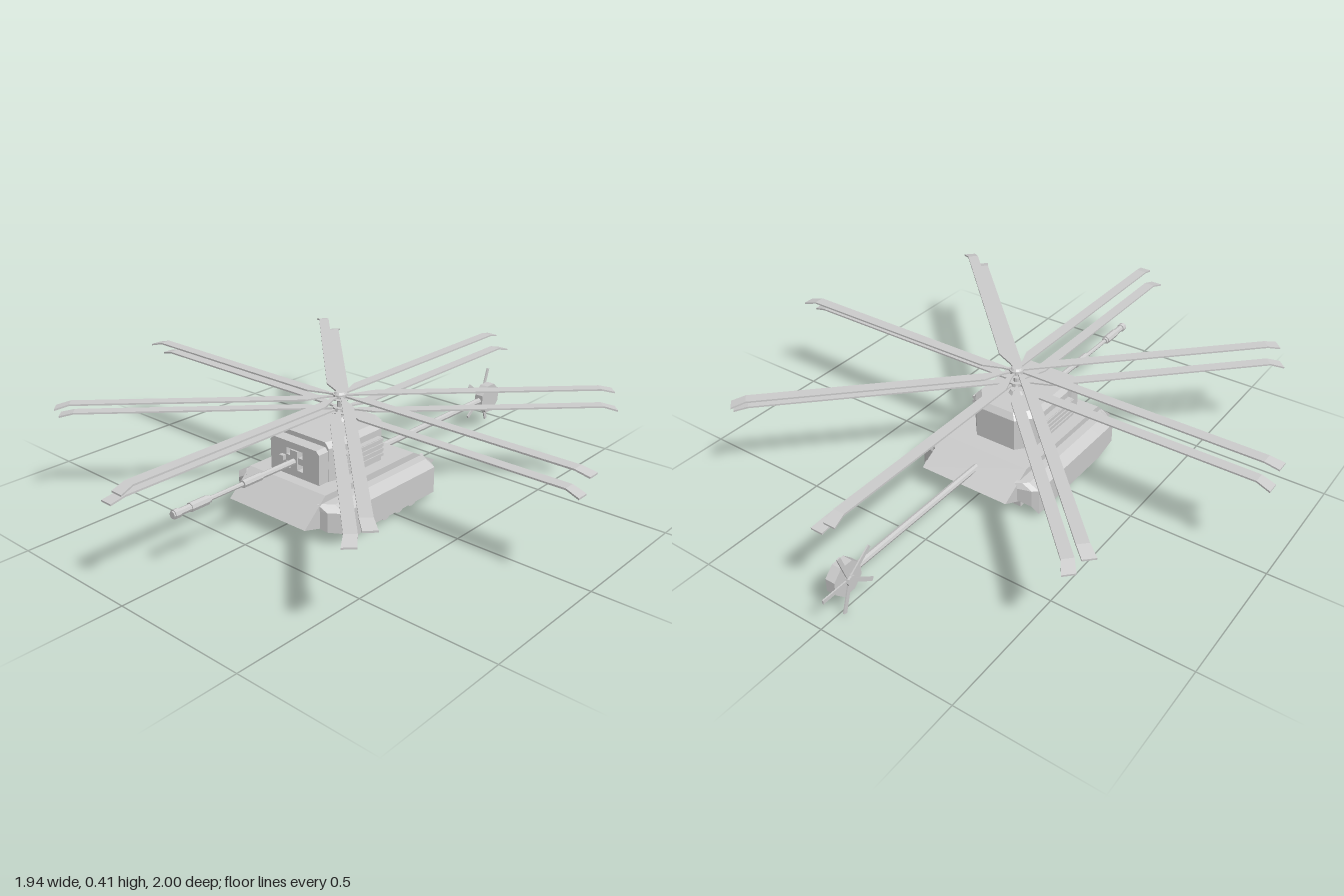
import * as THREE from 'three';
import { ConvexGeometry } from 'three/addons/geometries/ConvexGeometry.js';

const grey = new THREE.MeshStandardMaterial({ color: 0xcccccc, flatShading: true });
const greyThin = new THREE.MeshStandardMaterial({ color: 0xcccccc, flatShading: true, side: THREE.DoubleSide });

function add(parent, name, geometry, x = 0, y = 0, z = 0, material = grey) {
  const mesh = new THREE.Mesh(geometry, material);
  mesh.name = name;
  mesh.position.set(x, y, z);
  parent.add(mesh);
  return mesh;
}

function subgroup(parent, name, x = 0, y = 0, z = 0) {
  const g = new THREE.Group();
  g.name = name;
  g.position.set(x, y, z);
  parent.add(g);
  return g;
}

const box = (w, h, d) => new THREE.BoxGeometry(w, h, d);
const rodY = (r, h, n = 8) => new THREE.CylinderGeometry(r, r, h, n);
const rodZ = (r, l, n = 8) => rodY(r, l, n).rotateX(Math.PI / 2);
const rodX = (r, l, n = 8) => rodY(r, l, n).rotateZ(Math.PI / 2);
const shapeOf = pts => new THREE.Shape(pts.map(p => new THREE.Vector2(...p)));

// Skin over rings of points; closed rings also get end caps.
function loft(rings, closed, flip = false) {
  const n = rings[0].length, idx = [];
  const tri = (a, b, c) => idx.push(...(flip ? [a, c, b] : [a, b, c]));
  for (let i = 0; i < rings.length - 1; i++)
    for (let j = 0; j < (closed ? n : n - 1); j++) {
      const k = (j + 1) % n, a = i * n + j, b = i * n + k;
      tri(a, b, b + n);
      tri(a, b + n, a + n);
    }
  if (closed)
    for (let j = 1, e = (rings.length - 1) * n; j < n - 1; j++) {
      tri(0, j + 1, j);
      tri(e, e + j, e + j + 1);
    }
  const g = new THREE.BufferGeometry();
  g.setAttribute('position', new THREE.Float32BufferAttribute(rings.flat(2), 3));
  g.setIndex(idx);
  g.computeVertexNormals();
  return g;
}

// Rotor blade: radius, inner edge, outer edge, height; the tip droops and sweeps.
function bladeGeometry(side) {
  const stations = [
    [0.01, 0, 0.006, 0], [0.05, 0.001, 0.014, 0], [0.12, 0.001, 0.041, 0],
    [0.92, 0.001, 0.041, 0], [0.97, 0.006, 0.05, -0.013],
  ];
  const t = 0.003;
  return loft(stations.map(([r, a, b, y]) => [
    [r, y - t, -side * a], [r, y + t, -side * a], [r, y + t, -side * b], [r, y - t, -side * b],
  ]), true, side > 0);
}

function addRotor(parent, name, y, side) {
  const rotor = subgroup(parent, name, 0, y, 0.03);
  const geometry = bladeGeometry(side);
  for (let i = 0; i < 8; i++)
    add(rotor, 'rotorBlade', geometry, 0, 0, 0, greyThin).rotation.y = i * Math.PI / 4;
  add(rotor, 'rotorHub', rodY(0.026, 0.016, 12));
  add(rotor, 'rotorSwashPlate', new THREE.CylinderGeometry(0.045, 0.03, 0.007, 8), 0, -0.008, 0);
}

function addHull(model) {
  // Side profile as (z, y), extruded across the width
  const profile = shapeOf([[0.4, 0.075], [0.3, 0.165], [-0.165, 0.165], [-0.29, 0.095],
    [-0.2, 0.05], [-0.2, 0.025], [0.21, 0.022]]);
  const hull = new THREE.ExtrudeGeometry(profile, { depth: 0.356, bevelEnabled: false });
  add(model, 'hull', hull.rotateY(-Math.PI / 2).translate(0.178, 0, 0));
  add(model, 'bellyHatch', box(0.07, 0.006, 0.05), 0, 0.021, 0.0);

  for (const s of [-1, 1]) {
    // Fender and skirt, open below: z, outer x, bottom y
    const stations = [[0.33, 0.18, 0.055], [0.325, 0.21, 0.05], [0.29, 0.25, 0.045], [0.2, 0.25, 0.022],
      [-0.195, 0.25, 0.022], [-0.21, 0.23, 0.055], [-0.225, 0.18, 0.07]];
    const rings = stations.map(([z, x, y]) => [
      [s * 0.17, 0.142, z], [s * Math.max(0.172, x - 0.04), 0.14, z],
      [s * x, 0.12, z], [s * x, y, z],
    ]);
    add(model, 'trackSkirt', loft(rings, false, s > 0), 0, 0, 0, greyThin);

    // Paired road wheels under the skirt
    const track = subgroup(model, 'runningGear', s * 0.215, 0, 0);
    for (let i = 0; i < 5; i++) {
      const z = 0.2 - i * 0.0725;
      for (const dx of [-0.013, 0.013])
        add(track, 'roadWheel', rodX(0.029, 0.012, 12), dx, 0.0295, z);
      add(track, 'wheelAxle', rodX(0.009, 0.08), -s * 0.015, 0.0295, z);
    }
    for (const [z, y] of [[0.27, 0.078], [-0.16, 0.068]])
      add(track, 'endWheel', rodX(0.026, 0.036, 12), 0, y, z);
  }
}

function addTurret(model) {
  const turret = subgroup(model, 'turret');
  // Faceted body: plan outline at three heights, drawn in at the top
  const plan = [[0.115, 0.215], [0.13, 0.16], [0.13, -0.04], [0.08, -0.1]];
  const pts = [];
  for (const [y, inset] of [[0.16, 0], [0.285, 0], [0.305, 0.016]])
    for (const [x, z] of plan)
      for (const s of [-1, 1])
        pts.push(new THREE.Vector3(s * (x - inset), y, z > 0.2 ? z : z + (z < 0 ? inset : 0)));
  add(turret, 'turretBody', new ConvexGeometry(pts));

  // Front plate with two gun slots
  const face = shapeOf([[-0.113, 0.16], [0.113, 0.16], [0.113, 0.275], [0.1, 0.288], [-0.1, 0.288], [-0.113, 0.275]]);
  for (const [a, b] of [[0.19, 0.215], [0.238, 0.264]])
    face.holes.push(new THREE.Path([[-0.038, a], [-0.038, b], [0.038, b], [0.038, a]].map(p => new THREE.Vector2(...p))));
  add(turret, 'turretFront', new THREE.ExtrudeGeometry(face, { depth: 0.047, bevelEnabled: false }), 0, 0, 0.213);
  add(turret, 'mantlet', box(0.032, 0.07, 0.045), 0, 0.227, 0.242);
  add(turret, 'gunSight', box(0.018, 0.018, 0.03), -0.05, 0.226, 0.26);

  // Slatted side boxes
  for (const s of [-1, 1]) {
    add(turret, 'sideBox', box(0.025, 0.07, 0.19), s * 0.138, 0.227, 0.072);
    for (let i = 0; i < 4; i++)
      add(turret, 'sideSlat', box(0.006, 0.01, 0.19), s * 0.152, 0.2 + i * 0.0185, 0.072);
  }

  // Cannon: radius, start z, end z
  const gun = subgroup(turret, 'cannon', 0, 0.222, 0);
  for (const [name, r, a, b] of [['barrel', 0.008, 0.22, 0.78], ['barrelRoot', 0.011, 0.25, 0.42],
    ['barrelSleeve', 0.014, 0.42, 0.5], ['muzzleBrake', 0.0125, 0.64, 0.79],
    ['muzzleCollar', 0.016, 0.65, 0.72], ['muzzleRing', 0.016, 0.765, 0.785]])
    add(gun, name, rodZ(r, b - a), 0, 0, (a + b) / 2);
}

function addTail(model) {
  add(model, 'tailBoom', rodZ(0.0125, 0.67), 0, 0.127, -0.515);
  const tail = subgroup(model, 'tail', 0, 0.128, -0.883);
  add(tail, 'tailGearbox', rodX(0.062, 0.036).rotateX(Math.PI / 8));
  add(tail, 'tailRotorHub', rodX(0.018, 0.02), -0.025, 0, 0);
  for (let i = 0; i < 5; i++) {
    const arm = subgroup(tail, 'tailRotorArm', -0.025, 0, 0);
    arm.rotation.x = i * Math.PI * 2 / 5;
    add(arm, 'tailRotorBlade', box(0.005, 0.014, 0.117), 0, 0, -0.0585);
  }
}

export function createModel() {
  const model = new THREE.Group();
  model.name = 'rotorTank';
  addHull(model);
  addTurret(model);
  addTail(model);

  // Two contra-rotating rotors on one mast
  add(model, 'mast', rodY(0.011, 0.11), 0, 0.35, 0.03);
  add(model, 'mastBase', new THREE.CylinderGeometry(0.02, 0.03, 0.015, 8), 0, 0.31, 0.03);
  add(model, 'mastCap', new THREE.CylinderGeometry(0.016, 0.024, 0.01, 12), 0, 0.404, 0.03);
  addRotor(model, 'upperRotor', 0.394, 1);
  addRotor(model, 'lowerRotor', 0.346, -1);
  return model;
}
